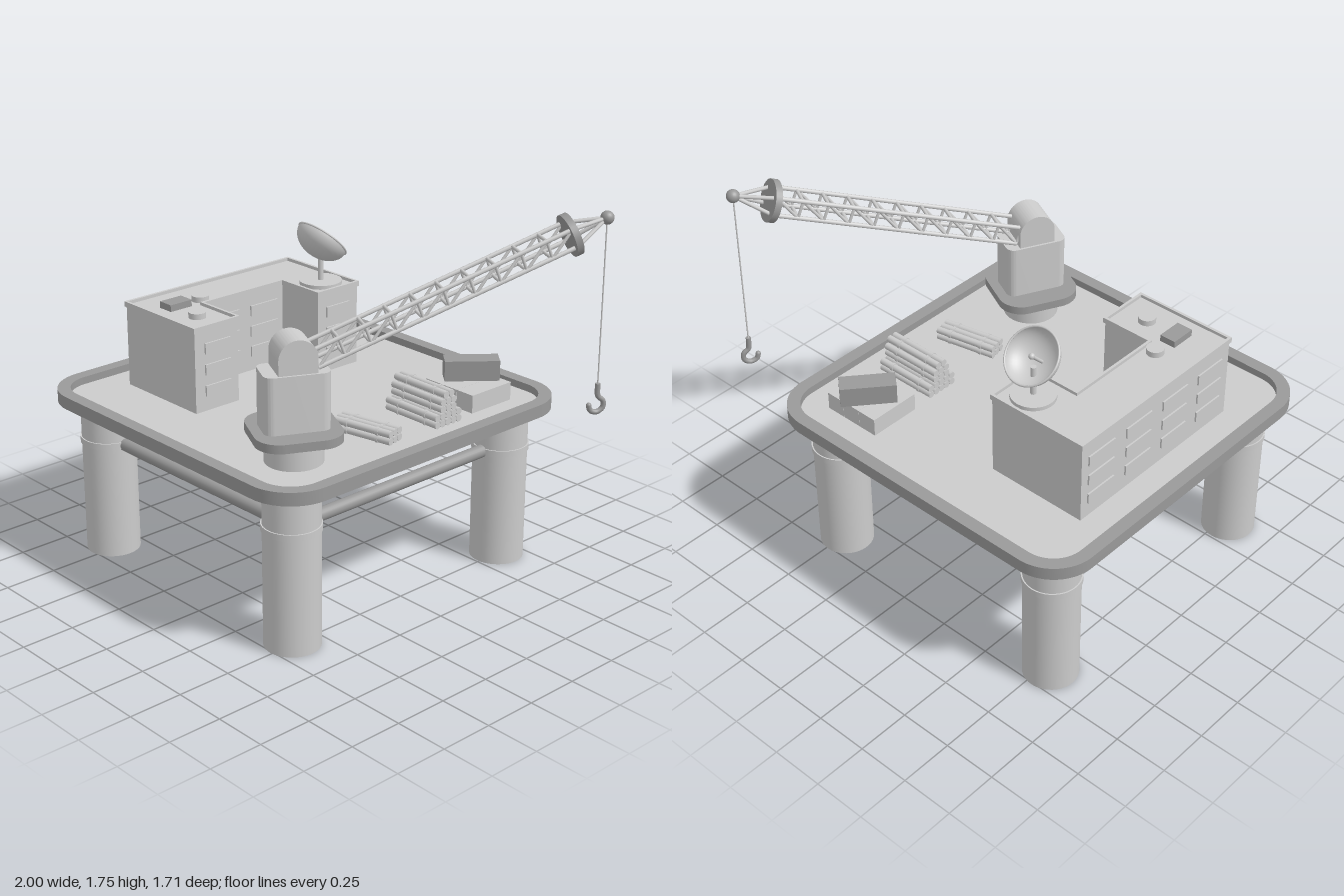
import * as THREE from 'three';
import { toCreasedNormals } from 'three/addons/utils/BufferGeometryUtils.js';

const light = new THREE.MeshStandardMaterial({ color: 0xcccccc });
const dark = new THREE.MeshStandardMaterial({ color: 0x999999 });
const thin = new THREE.MeshStandardMaterial({ color: 0xcccccc, side: THREE.DoubleSide });
const V = (x, y, z) => new THREE.Vector3(x, y, z);
const DECK = 0.77;

function add(parent, name, geometry, material, x = 0, y = 0, z = 0) {
  const mesh = new THREE.Mesh(geometry, material);
  mesh.name = name;
  mesh.position.set(x, y, z);
  parent.add(mesh);
  return mesh;
}

function group(parent, name, x = 0, y = 0, z = 0) {
  const g = new THREE.Group();
  g.name = name;
  g.position.set(x, y, z);
  parent.add(g);
  return g;
}

const box = (w, h, d) => new THREE.BoxGeometry(w, h, d);
const cyl = (r, h, n = 32) => new THREE.CylinderGeometry(r, r, h, n);

// Round bar between two points
function bar(parent, name, a, b, r, material = light, sides = 8) {
  const mesh = add(parent, name, cyl(r, a.distanceTo(b), sides), material);
  mesh.position.copy(a).lerp(b, 0.5);
  mesh.quaternion.setFromUnitVectors(V(0, 1, 0), b.clone().sub(a).normalize());
  return mesh;
}

// Rounded rectangle with half sizes a and b
function roundRect(a, b, r) {
  const s = new THREE.Shape();
  s.absarc(a - r, b - r, r, 0, Math.PI / 2);
  s.absarc(-a + r, b - r, r, Math.PI / 2, Math.PI);
  s.absarc(-a + r, -b + r, r, Math.PI, Math.PI * 1.5);
  s.absarc(a - r, -b + r, r, Math.PI * 1.5, Math.PI * 2);
  s.closePath();
  return s;
}

// Plan outline raised from y = 0 to the given height
function raise(shape, height) {
  const g = new THREE.ExtrudeGeometry(shape, { depth: height, bevelEnabled: false, curveSegments: 12 });
  return toCreasedNormals(g.rotateX(-Math.PI / 2), 0.6);
}

function buildPlatform(root) {
  const g = group(root, 'platform');
  const cx = -0.145;
  const rim = roundRect(0.855, 0.855, 0.21);
  rim.holes.push(roundRect(0.795, 0.795, 0.15));
  add(g, 'rim', raise(rim, 0.06), dark, cx, 0.745, 0);
  add(g, 'deck', raise(roundRect(0.797, 0.797, 0.15), DECK - 0.745), light, cx, 0.745, 0);
  const xs = [-0.78, 0.49], zs = [-0.635, 0.635];
  for (const x of xs) for (const z of zs) {
    add(g, 'leg', cyl(0.125, 0.75, 40), light, x, 0.375, z);
    add(g, 'legBand', cyl(0.131, 0.03, 40), light, x, 0.555, z);
  }
  for (const z of zs) bar(g, 'crossBar', V(xs[0], 0.553, z), V(xs[1], 0.553, z), 0.03, dark, 20);
  for (const x of xs) bar(g, 'crossBar', V(x, 0.553, zs[0]), V(x, 0.553, zs[1]), 0.03, dark, 20);
}

// U-shaped plan of the building, shrunk by i
function uPlan(i, Type = THREE.Shape) {
  const pts = [[-0.805 + i, 0.5 - i], [-0.3 - i, 0.5 - i], [-0.3 - i, 0.24 + i], [-0.55 - i, 0.24 + i],
    [-0.55 - i, -0.23 - i], [-0.3 - i, -0.23 - i], [-0.3 - i, -0.49 + i], [-0.805 + i, -0.49 + i]];
  return new Type(pts.map(([x, z]) => new THREE.Vector2(x, -z)));
}

function buildBuilding(root) {
  const g = group(root, 'building');
  add(g, 'walls', raise(uPlan(0.007), 1.16 - DECK), light, 0, DECK, 0);
  const parapet = uPlan(0);
  parapet.holes.push(uPlan(0.013, THREE.Path));
  add(g, 'parapet', raise(parapet, 0.025), light, 0, 1.15, 0);

  // Window panels on both long sides
  for (const y of [0.865, 0.965, 1.065]) {
    for (const z of [-0.36, -0.12, 0.12, 0.36]) add(g, 'window', box(0.016, 0.05, 0.165), light, -0.798, y, z);
    for (const z of [-0.12, 0.115]) add(g, 'window', box(0.016, 0.05, 0.165), light, -0.557, y, z);
    for (const z of [-0.36, 0.365]) add(g, 'window', box(0.016, 0.05, 0.145), light, -0.307, y, z);
  }

  // Roof equipment
  add(g, 'roofVent', cyl(0.04, 0.03), light, -0.615, 1.172, 0.21);
  add(g, 'roofVent', cyl(0.04, 0.03), light, -0.445, 1.172, 0.365);
  add(g, 'roofUnit', box(0.078, 0.035, 0.12), dark, -0.617, 1.174, 0.35);

  // Dish antenna
  const d = group(g, 'dishAntenna', -0.43, 0, -0.365);
  add(d, 'dishBase', cyl(0.1, 0.02), light, 0, 1.168, 0);
  add(d, 'dishMast', cyl(0.013, 0.15, 16), light, 0, 1.24, 0);
  const dish = group(d, 'dish', 0, 1.375, -0.012);
  dish.rotation.x = -Math.PI / 4;
  const profile = [];
  for (let i = 0; i <= 12; i++) {
    const r = 0.128 * Math.sin((i / 12) * Math.PI / 2);
    profile.push(new THREE.Vector2(r, -0.092 * Math.cos((i / 12) * Math.PI / 2)));
  }
  add(dish, 'bowl', new THREE.LatheGeometry(profile, 40), thin);
  add(dish, 'bowlRim', new THREE.TorusGeometry(0.127, 0.005, 8, 40).rotateX(Math.PI / 2), light);
  bar(dish, 'feed', V(0, -0.09, 0), V(0, 0.0, 0), 0.008);
  add(dish, 'feedHorn', new THREE.SphereGeometry(0.014, 12, 8), light);
}

// Bundle of pipes along x with the given number of pipes in each row
function pipeBundle(parent, x, z, rows, turn, length) {
  const g = group(parent, 'pipeBundle', x, DECK, z);
  g.rotation.y = turn;
  const r = 0.0165;
  rows.forEach((n, row) => {
    for (let i = 0; i < n; i++) {
      const y = r + row * 2 * r, pz = (i - (n - 1) / 2) * 2 * r;
      bar(g, 'pipe', V(-length / 2, y, pz), V(length / 2, y, pz), r, light, 12);
      for (const s of [-1, 1]) {
        bar(g, 'strap', V(s * length * 0.27 - 0.007, y, pz), V(s * length * 0.27 + 0.007, y, pz), r + 0.003, light, 12);
      }
    }
  });
}

function buildCargo(root) {
  const g = group(root, 'cargo');
  for (const x of [0.273, 0.37, 0.467]) add(g, 'container', box(0.096, 0.855 - DECK, 0.25), light, x, (0.855 + DECK) / 2, -0.54);
  add(g, 'topContainer', box(0.095, 0.095, 0.25), dark, 0.355, 0.903, -0.573).rotation.y = -0.7;
  pipeBundle(g, 0.383, -0.24, [5, 5, 3, 3, 2], 0, 0.31);
  pipeBundle(g, 0.375, 0.098, [3, 3], 0.2, 0.3);
}

function buildCrane(root) {
  // Local -z points along the boom
  const g = group(root, 'crane', 0.36, 0, 0.505);
  g.rotation.y = -0.46;
  add(g, 'pedestal', cyl(0.128, 0.89 - DECK, 40), light, 0, (0.89 + DECK) / 2, 0);
  add(g, 'turntable', raise(roundRect(0.19, 0.19, 0.11), 0.04), dark, 0, 0.885, 0);
  add(g, 'cab', raise(roundRect(0.09, 0.144, 0.04), 0.255), light, 0, 0.925, 0);

  // Arched head on top of the cab
  const arch = new THREE.Shape();
  arch.moveTo(-0.085, 0);
  arch.lineTo(0.085, 0);
  arch.absarc(0, 0.065, 0.085, 0, Math.PI);
  const head = new THREE.ExtrudeGeometry(arch, { depth: 0.16, bevelEnabled: false, curveSegments: 24 });
  head.translate(0, 0, -0.08).rotateY(Math.PI / 2);
  add(g, 'head', toCreasedNormals(head, 0.6), light, 0, 1.18, 0);

  // Lattice boom, tilted upward along its own -z
  const boom = group(g, 'boom', 0, 1.232, -0.08);
  boom.rotation.x = 0.357;
  const L = 1.2, w = 0.052, h = 0.041, bays = 10;
  const at = (sx, sy, t) => V(sx * w, sy * h, -L * t);
  for (const sx of [-1, 1]) for (const sy of [-1, 1]) {
    bar(boom, 'chord', at(sx, sy, 0), at(sx, sy, 1), 0.0105);
    bar(boom, 'tipStrut', at(sx, sy, 1), V(0, 0, -1.375), 0.009);
  }
  for (let i = 0; i <= bays; i++) {
    const t = i / bays;
    for (const s of [-1, 1]) {
      bar(boom, 'rung', at(-1, s, t), at(1, s, t), 0.008);
      bar(boom, 'post', at(s, -1, t), at(s, 1, t), 0.007);
      if (i < bays) bar(boom, 'diagonal', at(s, -1, t), at(s, 1, t + 1 / bays), 0.007);
    }
  }
  bar(boom, 'tipDisc', V(0, 0, -L - 0.015), V(0, 0, -L + 0.015), 0.095, dark, 36);
  add(boom, 'tipBall', new THREE.SphereGeometry(0.03, 20, 14), dark, 0, 0, -1.375);

  // Cable and hook hanging from the tip
  const tipZ = -0.08 - 1.375 * Math.cos(0.357);
  const tipY = 1.232 + 1.375 * Math.sin(0.357);
  bar(g, 'cable', V(0, tipY, tipZ), V(0, 0.94, tipZ), 0.0035);
  const hookPath = new THREE.CatmullRomCurve3([[0, 0.93], [0.004, 0.905], [0.028, 0.882], [0.028, 0.85],
    [0, 0.832], [-0.03, 0.842], [-0.038, 0.866]].map(([z, y]) => V(0, y, tipZ - z)));
  add(g, 'hook', new THREE.TubeGeometry(hookPath, 32, 0.012, 10), dark);
  add(g, 'hookTip', new THREE.SphereGeometry(0.012, 10, 8), dark, 0, 0.866, tipZ + 0.038);
  add(g, 'hookShank', cyl(0.012, 0.045, 12), dark, 0, 0.942, tipZ);
}

export function createModel() {
  const root = new THREE.Group();
  root.name = 'offshorePlatform';
  buildPlatform(root);
  buildBuilding(root);
  buildCargo(root);
  buildCrane(root);
  return root;
}
